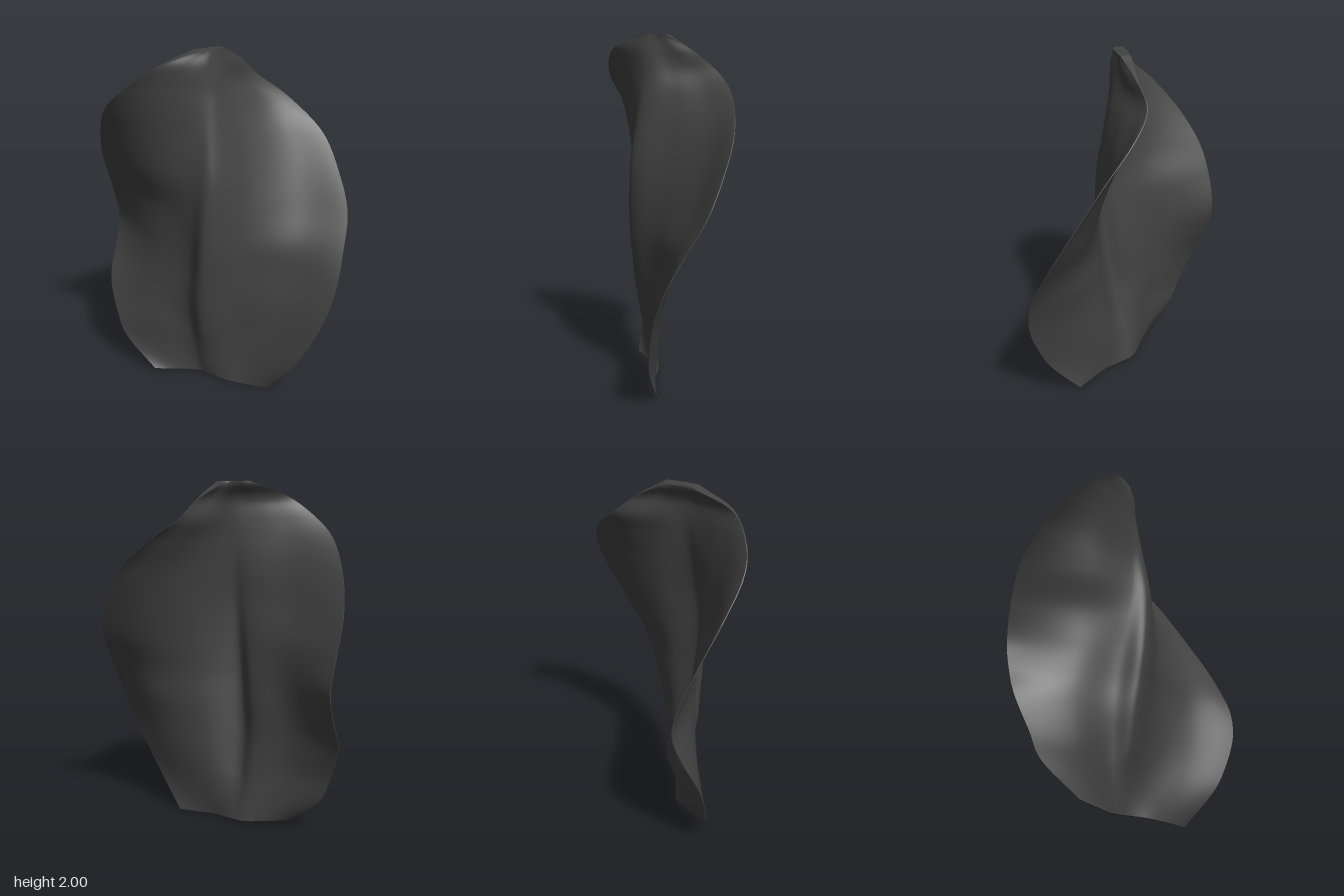
import * as THREE from 'three';

// Cross-sections from base to tip:
// y, left edge x, midrib x, right edge x, then z at seven points from left to right
const SECTIONS = [
  [0.00, -0.42, -0.10, 0.25, 0.00, 0.00, 0.01, 0.04, 0.12, 0.165, 0.20],
  [0.20, -0.59, -0.12, 0.38, -0.11, -0.03, 0.02, 0.07, 0.115, 0.20, 0.31],
  [0.35, -0.645, -0.13, 0.46, -0.155, -0.04, 0.03, 0.11, 0.12, 0.21, 0.35],
  [0.55, -0.68, -0.14, 0.55, -0.235, -0.07, 0.045, 0.145, 0.135, 0.21, 0.365],
  [0.73, -0.645, -0.13, 0.61, -0.315, -0.07, 0.06, 0.17, 0.14, 0.185, 0.33],
  [0.90, -0.62, -0.12, 0.65, -0.36, -0.06, 0.085, 0.19, 0.14, 0.155, 0.25],
  [1.10, -0.65, -0.10, 0.685, -0.325, -0.05, 0.12, 0.20, 0.11, 0.075, 0.135],
  [1.30, -0.685, -0.08, 0.645, -0.245, 0.02, 0.145, 0.195, 0.07, 0.00, 0.02],
  [1.50, -0.685, -0.07, 0.56, -0.11, 0.07, 0.14, 0.16, 0.03, -0.07, -0.09],
  [1.68, -0.64, -0.05, 0.375, 0.04, 0.12, 0.135, 0.12, 0.00, -0.12, -0.185],
  [1.80, -0.54, -0.04, 0.21, 0.13, 0.145, 0.125, 0.09, -0.01, -0.11, -0.195],
  [1.92, -0.37, -0.05, 0.10, 0.175, 0.15, 0.115, 0.08, 0.03, -0.02, -0.09],
  [2.00, -0.15, -0.06, 0.01, 0.115, 0.10, 0.08, 0.07, 0.055, 0.04, 0.02],
];
// Spread of the seven points: 0 left edge, 1 midrib, 2 right edge
const COLUMNS = [0, 0.45, 0.85, 1, 1.33, 1.67, 2];
const ACROSS = 60;
const ALONG = 104;
const STRIDE = ACROSS + 1;

// Control point of one section; the base line slopes up a little to the left
function controlPoint(section, row, col) {
  const [y, left, mid, right, ...z] = section;
  const s = COLUMNS[col];
  const x = s < 1 ? THREE.MathUtils.lerp(left, mid, s) : THREE.MathUtils.lerp(mid, right, s - 1);
  const lift = row === 0 ? 0.015 * (2 - s) : 0;
  return new THREE.Vector3(x, y + lift, z[col]);
}

const smooth = (points, type) => new THREE.CatmullRomCurve3(points, false, type, 0.5);

function buildGeometry(points, indices) {
  const geometry = new THREE.BufferGeometry().setFromPoints(points);
  geometry.setIndex(indices);
  geometry.computeVertexNormals();
  return geometry;
}

// Triangles of a grid with the given row length
function gridIndices(stride, rows) {
  const indices = [];
  for (let j = 0; j < rows - 1; j++) {
    for (let i = 0; i < stride - 1; i++) {
      const a = j * stride + i;
      const b = a + stride;
      indices.push(a, a + 1, b, a + 1, b + 1, b);
    }
  }
  return indices;
}

// Front face: points lofted through the sections
function frontPoints() {
  const lengthwise = COLUMNS.map((_, c) =>
    smooth(SECTIONS.map((section, r) => controlPoint(section, r, c)), 'catmullrom'));
  const points = [];
  for (let j = 0; j <= ALONG; j++) {
    const section = smooth(lengthwise.map((curve) => curve.getPoint(j / ALONG)), 'centripetal');
    for (let i = 0; i <= ACROSS; i++) points.push(section.getPoint(i / ACROSS));
  }
  return points;
}

// Back face: the front moved inwards, thin at the sides and thicker at the tip
function backPoints(points, normals) {
  return points.map((p, k) => {
    const u = (k % STRIDE) / ACROSS;
    const v = Math.floor(k / STRIDE) / ALONG;
    const thickness = 0.005 + 0.012 * Math.sin(Math.PI * u)
      + 0.05 * THREE.MathUtils.smoothstep(v, 0.88, 1);
    const n = new THREE.Vector3().fromBufferAttribute(normals, k);
    n.y = 0;
    return p.clone().addScaledVector(n.normalize(), -thickness);
  });
}

// Grid numbers around the outline, starting and ending at the base's left corner
function outline() {
  const loop = [];
  for (let i = 0; i < ACROSS; i++) loop.push(i);
  for (let j = 0; j < ALONG; j++) loop.push(j * STRIDE + ACROSS);
  for (let i = ACROSS; i > 0; i--) loop.push(ALONG * STRIDE + i);
  for (let j = ALONG; j >= 0; j--) loop.push(j * STRIDE);
  return loop;
}

export function createModel() {
  const group = new THREE.Group();
  group.name = 'petal';
  const material = new THREE.MeshStandardMaterial({ color: 0x434343, side: THREE.DoubleSide });
  const add = (name, geometry) => {
    const mesh = new THREE.Mesh(geometry, material);
    mesh.name = name;
    group.add(mesh);
  };

  // Twisted blade with a central midrib
  const indices = gridIndices(STRIDE, ALONG + 1);
  const front = frontPoints();
  const frontGeometry = buildGeometry(front, indices);
  add('petalFront', frontGeometry);

  const back = backPoints(front, frontGeometry.attributes.normal);
  add('petalBack', buildGeometry(back, [...indices].reverse()));

  // Narrow wall closing the outline
  const loop = outline();
  const wall = [...loop.map((k) => back[k]), ...loop.map((k) => front[k])];
  add('petalEdge', buildGeometry(wall, gridIndices(loop.length, 2)));

  return group;
}
